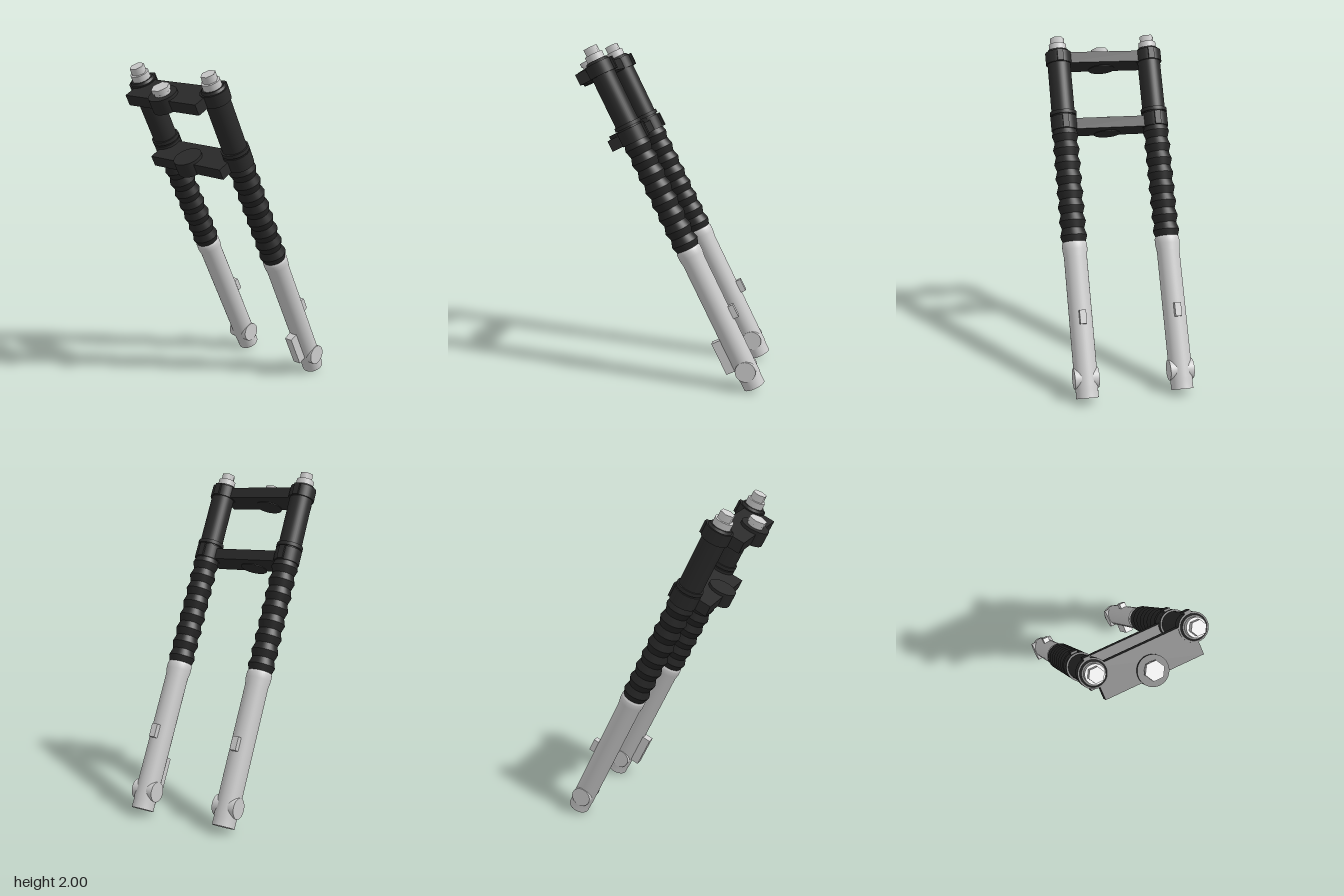
import * as THREE from 'three';
import { toCreasedNormals } from 'three/addons/utils/BufferGeometryUtils.js';

const metal = new THREE.MeshStandardMaterial({ color: 0xcccccc });
metal.name = 'brushed metal';
const black = new THREE.MeshStandardMaterial({ color: 0x2a2a2a });
black.name = 'black paint';
const rubber = new THREE.MeshStandardMaterial({ color: 0x252525 });
rubber.name = 'black rubber';

const LEG_Z = 0.282;

function add(parent, name, geometry, material, x = 0, y = 0, z = 0) {
  const mesh = new THREE.Mesh(geometry, material);
  mesh.name = name;
  mesh.position.set(x, y, z);
  parent.add(mesh);
  return mesh;
}

// Upright cylinder between two heights
function rod(parent, name, r, y0, y1, material, x = 0, z = 0, sides = 40) {
  return add(parent, name, new THREE.CylinderGeometry(r, r, y1 - y0, sides), material, x, (y0 + y1) / 2, z);
}

// Box from its ranges in x and y, centred on z
function block(parent, name, x0, x1, y0, y1, depth, material) {
  return add(parent, name, new THREE.BoxGeometry(x1 - x0, y1 - y0, depth), material,
    (x0 + x1) / 2, (y0 + y1) / 2, 0);
}

// Turned part from [radius, height] points
function turned(parent, name, profile, material) {
  const points = profile.map(([r, y]) => new THREE.Vector2(r, y));
  const geometry = toCreasedNormals(new THREE.LatheGeometry(points, 40), 0.5);
  return add(parent, name, geometry, material);
}

function makeLeg(side) {
  const leg = new THREE.Group();
  leg.name = side > 0 ? 'nearForkLeg' : 'farForkLeg';
  leg.position.z = side * LEG_Z;

  // Metal slider with a flared lip
  turned(leg, 'lowerSlider', [[0, 0], [0.065, 0], [0.065, 0.05], [0.068, 0.07], [0.068, 0.82],
    [0.074, 0.86], [0.074, 0.895], [0.066, 0.91], [0, 0.91]], metal);
  const axle = rod(leg, 'axleBoss', 0.06, -0.071, 0.071, metal);
  axle.rotation.x = Math.PI / 2;
  axle.position.y = 0.115;
  block(leg, 'fenderTab', 0.05, 0.098, 0.42, 0.5, 0.038, metal);
  if (side > 0) block(leg, 'brakeMount', -0.117, -0.04, 0.13, 0.335, 0.05, metal);

  // Bellows
  const ridges = 8, y0 = 0.9, step = (1.6 - y0) / ridges;
  const profile = [[0, y0], [0.066, y0]];
  for (let i = 0; i < ridges; i++) {
    profile.push([0.08, y0 + (i + 0.5) * step], [0.066, y0 + (i + 1) * step]);
  }
  profile.push([0, 1.6]);
  turned(leg, 'gaiter', profile, rubber);

  // Upper tube and clamp rings
  rod(leg, 'upperTube', 0.07, 1.58, 2.03, black);
  turned(leg, 'tubeCap', [[0.07, 2.03], [0.07, 2.08], [0.062, 2.092], [0, 2.092]], black);
  rod(leg, 'dustCollar', 0.08, 1.68, 1.702, black);
  for (const [name, a, b] of [['lowerClampRing', 1.588, 1.672], ['upperClampRing', 2.005, 2.077]]) {
    rod(leg, name, 0.079, a, b, black);
    block(leg, name + 'Lug', 0.06, 0.09, a, b, 0.036, black);
  }

  // Top bolt
  rod(leg, 'boltCollar', 0.053, 2.09, 2.13, metal);
  rod(leg, 'boltHead', 0.043, 2.13, 2.172, metal, 0, 0, 6);
  return leg;
}

export function createModel() {
  const model = new THREE.Group();
  model.name = 'frontFork';
  const fork = new THREE.Group();
  fork.name = 'tiltedFork';
  fork.position.set(0.518, 0.03, 0);
  fork.rotation.z = THREE.MathUtils.degToRad(26);
  model.add(fork);

  fork.add(makeLeg(1), makeLeg(-1));

  // Bridges joining the legs, each with a stem boss
  for (const [name, y] of [['lowerBridge', 1.59], ['upperBridge', 2.007]]) {
    block(fork, name, -0.15, 0.03, y, y + 0.066, LEG_Z * 2 - 0.008, black);
    rod(fork, name + 'Boss', 0.083, y - 0.003, y + 0.084, black, -0.113);
  }

  // Stem bolt on the upper bridge
  rod(fork, 'stemWasher', 0.046, 2.09, 2.107, metal, -0.11);
  rod(fork, 'stemBolt', 0.054, 2.107, 2.133, metal, -0.11, 0, 6);
  return model;
}
